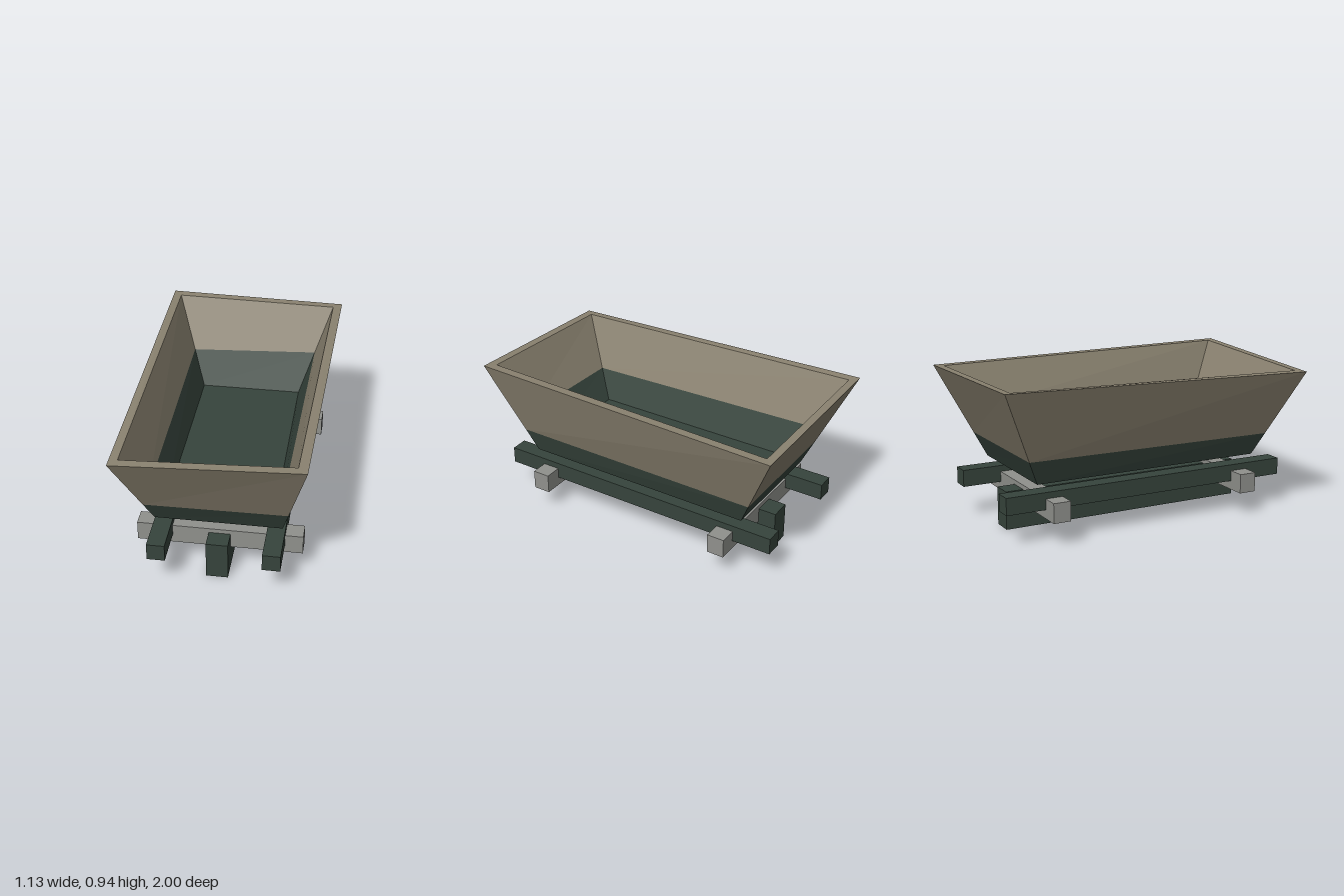
import * as THREE from 'three';

const mat = (name, color) => {
  const m = new THREE.MeshStandardMaterial({ color });
  m.name = name;
  return m;
};

// Four-corner loops run back right, front right, front left, back left.
const lerpLoop = (a, b, t) =>
  a.map((p, i) => p.map((v, k) => v + (b[i][k] - v) * t[i]));

const rectLoop = (x, y, z) => [[-x, y, -z], [-x, y, z], [x, y, z], [x, y, -z]];

// Quads joining two loops
const band = (a, b) => a.map((p, i) => {
  const j = (i + 1) % 4;
  return [p, a[j], b[j], b[i]];
});

// Flat-shaded surface from a list of quads
function quadMesh(name, quads, material) {
  const pos = quads.flatMap(([a, b, c, d]) => [a, b, c, a, c, d]).flat();
  const geo = new THREE.BufferGeometry();
  geo.setAttribute('position', new THREE.Float32BufferAttribute(pos, 3));
  geo.computeVertexNormals();
  const mesh = new THREE.Mesh(geo, material);
  mesh.name = name;
  return mesh;
}

function beam(name, size, position, material) {
  const mesh = new THREE.Mesh(new THREE.BoxGeometry(...size), material);
  mesh.position.set(...position);
  mesh.name = name;
  return mesh;
}

export function createModel() {
  const tan = mat('weathered tan', 0x8a8270);
  const green = mat('dark green', 0x36443c);
  const grey = mat('grey', 0x90918d);

  const model = new THREE.Group();
  model.name = 'trough';

  // Tub: tapered walls with a slightly uneven rim
  const tub = new THREE.Group();
  tub.name = 'tub';
  const outerBottom = rectLoop(0.375, 0.35, 0.735);
  const outerTop = [
    [-0.565, 0.935, -1], [-0.565, 0.88, 1], [0.525, 0.935, 1], [0.565, 0.915, -1],
  ];
  const innerBottom = rectLoop(0.32, 0.4, 0.68);
  const innerTop = [
    [-0.515, 0.93, -0.95], [-0.515, 0.885, 0.945], [0.47, 0.933, 0.945], [0.51, 0.915, -0.95],
  ];

  // Loops where the dark lower paint meets the tan
  const outerLine = lerpLoop(outerBottom, outerTop, [0.255, 0.255, 0.243, 0.26]);
  const innerLine = lerpLoop(innerBottom, innerTop, [0.4, 0.37, 0.38, 0.47]);

  tub.add(
    quadMesh('outerWallUpper', band(outerLine, outerTop), tan),
    quadMesh('rim', band(outerTop, innerTop), tan),
    quadMesh('innerWallUpper', band(innerTop, innerLine), tan),
    quadMesh('outerWallLower', band(outerBottom, outerLine), green),
    quadMesh('innerWallLower', band(innerLine, innerBottom), green),
    quadMesh('floor', [innerBottom], green),
    quadMesh('underside', [[...outerBottom].reverse()], green),
  );
  model.add(tub);

  // Undercarriage: central keel, two long rails, two cross bars
  const frame = new THREE.Group();
  frame.name = 'undercarriage';
  frame.add(beam('keel', [0.13, 0.235, 1.6], [0, 0.1175, 0], green));
  for (const s of [-1, 1]) {
    frame.add(
      beam(s < 0 ? 'rightRail' : 'leftRail', [0.106, 0.104, 1.866], [s * 0.333, 0.248, 0], green),
      beam(s < 0 ? 'backCrossBar' : 'frontCrossBar', [0.984, 0.12, 0.108], [0, 0.202, s * 0.634], grey),
    );
  }
  model.add(frame);
  return model;
}
